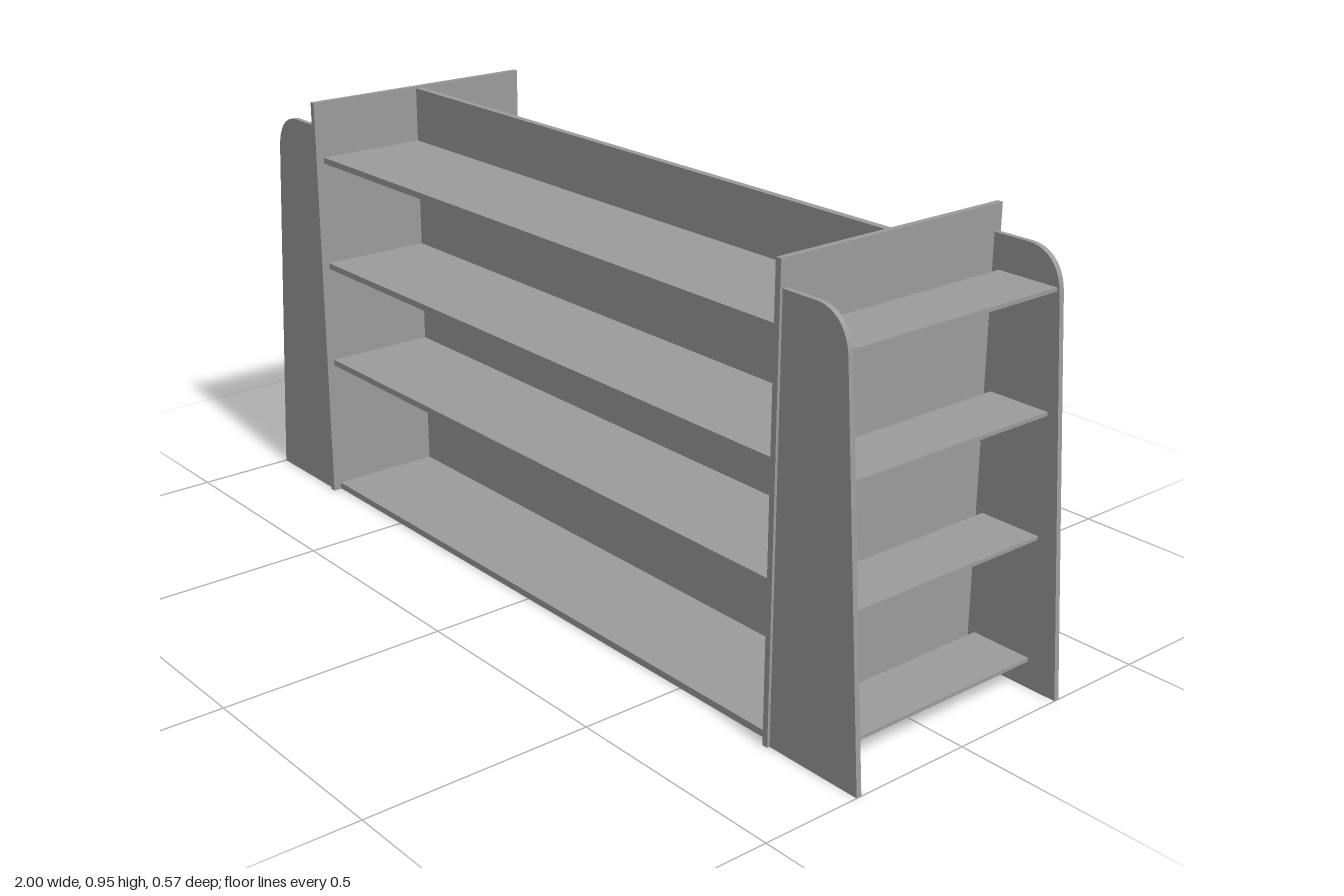
import * as THREE from 'three';

const material = new THREE.MeshStandardMaterial({ color: 0x9c9c9c, flatShading: true });

// Box given by its lower and upper corners
function board(name, [x0, y0, z0], [x1, y1, z1]) {
  const mesh = new THREE.Mesh(new THREE.BoxGeometry(x1 - x0, y1 - y0, z1 - z0), material);
  mesh.position.set((x0 + x1) / 2, (y0 + y1) / 2, (z0 + z1) / 2);
  mesh.name = name;
  return mesh;
}

// Tapered wing outline with a rounded upper outer corner; side is +1 or -1
function wingShape(side) {
  const s = new THREE.Shape();
  s.moveTo(side * 0.773, 0);
  s.lineTo(side * 1.0, 0);
  s.lineTo(side * 0.935, 0.82);
  s.bezierCurveTo(side * 0.931, 0.872, side * 0.897, 0.9, side * 0.855, 0.9);
  s.lineTo(side * 0.773, 0.9);
  s.closePath();
  return s;
}

export function createModel() {
  const model = new THREE.Group();
  model.name = 'doubleSidedShelfUnit';

  // Full-depth base and the middle divider standing on it
  model.add(board('base', [-0.76, 0.001, -0.266], [0.76, 0.016, 0.266]));
  model.add(board('centerDivider', [-0.76, 0.016, -0.008], [0.76, 0.951, 0.008]));

  // Long shelves, front and back
  for (const y of [0.319, 0.559, 0.812]) {
    model.add(board('frontShelf', [-0.76, y, 0.008], [0.76, y + 0.014, 0.266]));
    model.add(board('backShelf', [-0.76, y, -0.266], [0.76, y + 0.014, -0.008]));
  }

  for (const side of [1, -1]) {
    const end = new THREE.Group();
    end.name = side > 0 ? 'leftEnd' : 'rightEnd';

    // Upright panel closing the long shelves
    const a = side * 0.76, b = side * 0.773;
    end.add(board('endPanel', [Math.min(a, b), 0, -0.285], [Math.max(a, b), 0.955, 0.285]));

    // Short shelves facing outward
    const c = side * 0.789, d = side * 0.929;
    for (const y of [0.057, 0.32, 0.576, 0.821]) {
      end.add(board('endShelf', [Math.min(c, d), y, -0.267], [Math.max(c, d), y + 0.008, 0.267]));
    }

    // Pair of tapered wings holding the short shelves
    for (const z of [0.267, -0.279]) {
      const geometry = new THREE.ExtrudeGeometry(wingShape(side), {
        depth: 0.012, bevelEnabled: false, curveSegments: 10,
      });
      const wing = new THREE.Mesh(geometry, material);
      wing.position.z = z;
      wing.name = z > 0 ? 'frontWing' : 'backWing';
      end.add(wing);
    }
    model.add(end);
  }
  return model;
}
